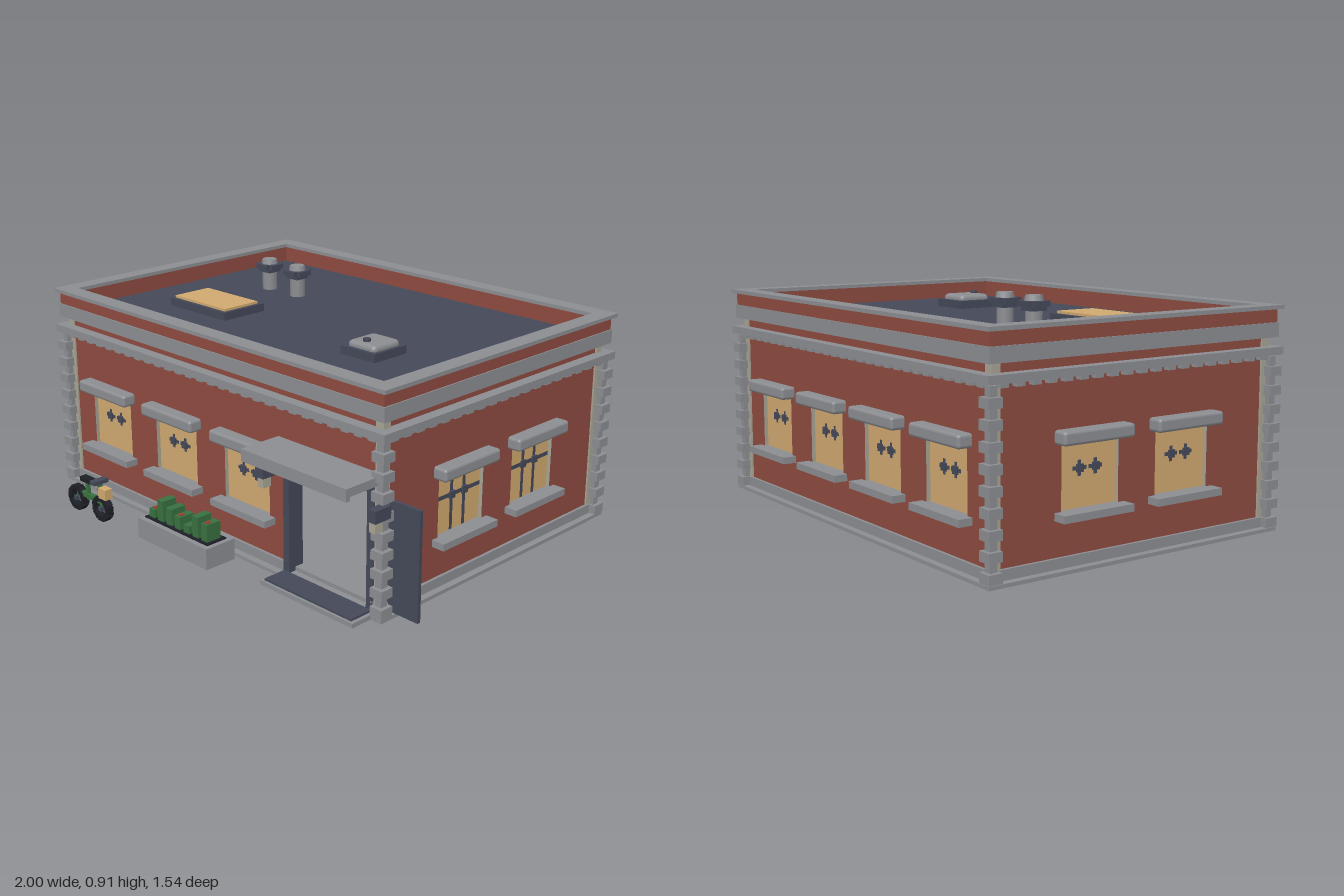
import * as THREE from 'three';
import { RoundedBoxGeometry } from 'three/addons/geometries/RoundedBoxGeometry.js';

const mat = (name, color) => {
  const m = new THREE.MeshStandardMaterial({ color });
  m.name = name;
  return m;
};
const brick = mat('brick', 0x8d4b40), stone = mat('stone grey', 0x8b8d91), slate = mat('slate', 0x444858);
const tan = mat('warm window', 0xcfa86f), beige = mat('beige', 0xa8a494), green = mat('green', 0x38703f);
const black = mat('black', 0x1d1f27), red = mat('red', 0xa03c30);

// Wall faces of the building
const X0 = -0.94, X1 = 0.85, Z0 = -0.712, Z1 = 0.538;
const CX = (X0 + X1) / 2, CZ = (Z0 + Z1) / 2, W = X1 - X0, D = Z1 - Z0;

function add(parent, name, geo, material, x = 0, y = 0, z = 0) {
  const m = new THREE.Mesh(geo, material);
  m.name = name;
  m.position.set(x, y, z);
  parent.add(m);
  return m;
}
// Box given by its limits on each axis
function box(parent, name, material, x0, x1, y0, y1, z0, z1) {
  return add(parent, name, new THREE.BoxGeometry(x1 - x0, y1 - y0, z1 - z0), material,
    (x0 + x1) / 2, (y0 + y1) / 2, (z0 + z1) / 2);
}
function group(parent, name, x = 0, y = 0, z = 0) {
  const g = new THREE.Group();
  g.name = name;
  g.position.set(x, y, z);
  parent.add(g);
  return g;
}
// Rectangular band round the building, from offset "inner" to offset "outer" of the walls
function ring(parent, name, material, y0, y1, inner, outer) {
  const s = new THREE.Shape(), h = new THREE.Path();
  const trace = (p, o) => {
    const a = W / 2 + o, b = D / 2 + o;
    p.moveTo(-a, -b).lineTo(a, -b).lineTo(a, b).lineTo(-a, b).closePath();
  };
  trace(s, outer);
  trace(h, inner);
  s.holes.push(h);
  const geo = new THREE.ExtrudeGeometry(s, { depth: y1 - y0, bevelEnabled: false });
  add(parent, name, geo.rotateX(-Math.PI / 2), material, CX, y0, CZ);
}

// Wall with openings, in its own frame: outward is +z
function wall(root, name, length, x, z, turn, windows, bars, door) {
  const g = group(root, name, x, 0, z);
  g.rotation.y = turn;
  const panel = (label, material, half, depth, back) => {
    const s = new THREE.Shape().moveTo(-half, 0.013);
    if (door) s.lineTo(door[0], 0.013).lineTo(door[0], 0.48).lineTo(door[1], 0.48).lineTo(door[1], 0.013);
    s.lineTo(half, 0.013).lineTo(half, 0.74).lineTo(-half, 0.74).closePath();
    for (const u of windows) {
      s.holes.push(new THREE.Path().moveTo(u - 0.125, 0.2).lineTo(u - 0.125, 0.45)
        .lineTo(u + 0.125, 0.45).lineTo(u + 0.125, 0.2).closePath());
    }
    const geo = new THREE.ExtrudeGeometry(s, { depth, bevelEnabled: false });
    add(g, label, geo, [material, beige], 0, 0, back);
  };
  panel('brickWall', brick, length / 2, 0.03, -0.03);
  panel('wallLining', beige, length / 2 - 0.031, 0.02, -0.05);

  for (const u of windows) {
    const w = group(g, 'window', u);
    box(w, 'pane', tan, -0.125, 0.125, 0.2, 0.45, -0.028, -0.016);
    add(w, 'lintel', new RoundedBoxGeometry(0.31, 0.05, 0.065, 2, 0.012), stone, 0, 0.465, 0.024);
    box(w, 'sill', stone, -0.154, 0.154, 0.18, 0.207, -0.015, 0.055);
    for (const s of [-0.035, 0.035]) {
      box(w, 'barBoss', slate, s - 0.014, s + 0.014, 0.331, 0.359, -0.018, -0.008);
      if (bars === 'full') box(w, 'uprightBar', slate, s - 0.008, s + 0.008, 0.207, 0.44, -0.018, -0.0155);
      else {
        box(w, 'uprightBar', slate, s - 0.007, s + 0.007, 0.317, 0.373, -0.018, -0.0152);
        box(w, 'crossBar', slate, s - 0.03, s + 0.03, 0.338, 0.352, -0.018, -0.0152);
      }
    }
    if (bars === 'full') box(w, 'crossBar', slate, -0.125, 0.125, 0.337, 0.353, -0.018, -0.0152);
  }

  // Plinth and the row of small blocks under the cornice
  const runs = door ? [[-length / 2, door[0]], [door[1], length / 2]] : [[-length / 2, length / 2]];
  for (const [a, b] of runs) box(g, 'plinth', stone, a, b, 0.013, 0.052, -0.01, 0.012);
  const n = Math.round(length / 0.065);
  for (let i = 0; i < n; i++) {
    const u = ((i + 0.5) / n - 0.5) * length;
    box(g, 'dentil', stone, u - 0.017, u + 0.017, 0.653, 0.672, -0.005, 0.025);
  }
}

function quoins(root) {
  for (const sx of [-1, 1]) for (const sz of [-1, 1]) {
    const g = group(root, 'cornerStones', CX + sx * W / 2, 0, CZ + sz * D / 2);
    add(g, 'cornerPost', new THREE.BoxGeometry(0.035, 0.72, 0.035), beige, -sx * 0.011, 0.373, -sz * 0.011);
    for (let i = 0; i < 18; i++) {
      const out = i % 2 ? 0.026 : 0.042, inn = i % 2 ? 0.004 : 0.014, size = out + inn, c = (out - inn) / 2;
      add(g, 'quoin', new THREE.BoxGeometry(size, 0.036, size), stone, sx * c, 0.034 + i * 0.036, sz * c);
    }
  }
}

function roof(root) {
  const g = group(root, 'roof');
  box(g, 'roofDeck', slate, X0 + 0.01, X1 - 0.01, 0.742, 0.772, Z0 + 0.01, Z1 - 0.01);
  ring(g, 'lowerCornice', stone, 0.67, 0.7, -0.01, 0.045);
  ring(g, 'upperCornice', stone, 0.735, 0.79, -0.005, 0.032);
  ring(g, 'parapet', brick, 0.745, 0.842, -0.02, 0.027);
  ring(g, 'parapetCap', stone, 0.84, 0.855, -0.027, 0.045);
  // Skylight and hatch
  box(g, 'skylightBase', slate, -0.67, -0.325, 0.765, 0.805, 0, 0.215);
  box(g, 'skylightGlass', tan, -0.655, -0.34, 0.8, 0.815, 0.022, 0.2);
  box(g, 'hatchBase', slate, 0.318, 0.49, 0.765, 0.805, 0.025, 0.2);
  add(g, 'hatchLid', new RoundedBoxGeometry(0.14, 0.04, 0.145, 2, 0.018), stone, 0.405, 0.808, 0.112);
  add(g, 'hatchHandle', new THREE.CylinderGeometry(0.014, 0.014, 0.016, 8), slate, 0.405, 0.832, 0.15);
  // Chimney vents
  for (const x of [-0.585, -0.41]) {
    const v = group(g, 'vent', x, 0, -0.275);
    add(v, 'ventPipe', new THREE.CylinderGeometry(0.032, 0.032, 0.1, 8), stone, 0, 0.81, 0);
    add(v, 'ventCollar', new THREE.BoxGeometry(0.066, 0.016, 0.066), slate, 0, 0.858, 0);
    for (const t of [0, Math.PI / 2]) {
      add(v, 'ventPlate', new THREE.BoxGeometry(0.1, 0.02, 0.066), slate, 0, 0.876, 0).rotation.y = t;
    }
    add(v, 'ventCap', new THREE.CylinderGeometry(0.032, 0.036, 0.02, 8), stone, 0, 0.896, 0);
  }
}

function entrance(root) {
  const g = group(root, 'entrance');
  for (const [a, b] of [[0.37, 0.4], [0.79, 0.822]]) box(g, 'doorPost', slate, a, b, 0.013, 0.48, 0.48, 0.55);
  box(g, 'doorHead', slate, 0.4, 0.79, 0.46, 0.48, 0.48, 0.55);
  box(g, 'slidingDoor', slate, 0.81, 1, 0.02, 0.44, 0.5, 0.514);
  box(g, 'canopy', stone, 0.335, 0.855, 0.505, 0.537, 0.53, 0.72);
  box(g, 'canopyLip', stone, 0.335, 0.855, 0.49, 0.51, 0.702, 0.72);
  box(g, 'step', stone, 0.37, 0.84, 0, 0.018, 0.56, 0.67);
  box(g, 'stepMat', slate, 0.385, 0.825, 0.018, 0.026, 0.56, 0.66);
  for (const x of [0.32, 0.875]) {
    box(g, 'lampHead', slate, x - 0.018, x + 0.018, 0.39, 0.437, 0.54, 0.618);
    box(g, 'lampGlass', beige, x - 0.014, x + 0.014, 0.352, 0.39, 0.575, 0.614);
  }
}

function interior(root) {
  const g = group(root, 'interior');
  // Long desks
  for (const [x, z] of [[-0.18, -0.335], [-0.63, -0.31], [-0.675, 0.157]]) {
    box(g, 'deskBase', slate, x - 0.2, x + 0.2, 0.002, 0.17, z - 0.025, z + 0.025);
    box(g, 'deskTop', tan, x - 0.2, x + 0.2, 0.17, 0.185, z - 0.06, z + 0.06);
  }
  // Counter with a screen
  box(g, 'counter', slate, 0.665, 0.785, 0.025, 0.17, -0.14, 0.17);
  box(g, 'counterFoot', slate, 0.755, 0.785, 0.002, 0.025, -0.14, 0.17);
  box(g, 'counterTop', tan, 0.655, 0.79, 0.17, 0.185, -0.15, 0.18);
  box(g, 'screen', black, 0.695, 0.785, 0.19, 0.37, -0.02, 0.01);
  box(g, 'screenLight', red, 0.735, 0.755, 0.255, 0.285, 0.01, 0.014);
  box(g, 'lampPost', slate, 0.665, 0.688, 0.185, 0.385, -0.06, -0.04);
  // Back bench, cabinet, seat and plant
  box(g, 'rug', black, 0.34, 0.8, 0.006, 0.034, -0.64, -0.4);
  box(g, 'benchTop', tan, 0.5, 0.68, 0.18, 0.195, -0.6, -0.42);
  box(g, 'cabinet', beige, 0.5, 0.66, 0.03, 0.18, -0.58, -0.44);
  for (const y of [0.05, 0.085, 0.12]) box(g, 'drawer', slate, 0.525, 0.58, y, y + 0.022, -0.44, -0.432);
  box(g, 'seat', slate, 0.405, 0.49, 0.085, 0.18, -0.2, -0.1);
  box(g, 'seatBack', stone, 0.415, 0.49, 0.18, 0.24, -0.2, -0.19);
  box(g, 'seatLeg', stone, 0.435, 0.455, 0.03, 0.085, -0.16, -0.14);
  box(g, 'plant', green, 0.41, 0.475, 0.18, 0.225, -0.185, -0.12);
}

function planter(root) {
  const g = group(root, 'planter');
  box(g, 'trough', stone, -0.27, 0.145, 0, 0.085, 0.595, 0.735);
  box(g, 'soil', black, -0.252, 0.125, 0.08, 0.09, 0.617, 0.713);
  [0.125, 0.175, 0.158, 0.143, 0.122, 0.175, 0.16].forEach((h, i) => {
    const x = -0.222 + i * 0.0525;
    box(g, 'shrub', green, x - 0.017, x + 0.017, 0.085, h, 0.633, 0.7);
    if (i % 3 === 0) box(g, 'flower', red, x - 0.008, x + 0.008, h, h + 0.004, 0.67, 0.69);
  });
}

function bicycle(root) {
  const g = group(root, 'bicycle', 0, 0, 0.737);
  const rod = (name, x0, y0, x1, y1, r) => {
    const m = add(g, name, new THREE.BoxGeometry(2 * r, Math.hypot(x1 - x0, y1 - y0), 2 * r), green,
      (x0 + x1) / 2, (y0 + y1) / 2);
    m.rotation.z = Math.atan2(y1 - y0, x1 - x0) - Math.PI / 2;
  };
  // Each wheel is eight chunky blocks
  for (const x of [-0.667, -0.5]) {
    const w = group(g, 'wheel', x, 0.054);
    for (let i = 0; i < 8; i++) {
      const a = i * Math.PI / 4;
      add(w, 'tyreBlock', new THREE.BoxGeometry(0.02, 0.036, 0.03), black,
        0.042 * Math.cos(a), 0.042 * Math.sin(a)).rotation.z = a;
    }
    add(w, 'hub', new THREE.BoxGeometry(0.018, 0.018, 0.034), slate);
  }
  rod('rearStay', -0.667, 0.054, -0.61, 0.085, 0.007);
  rod('seatTube', -0.592, 0.065, -0.597, 0.145, 0.007);
  rod('topTube', -0.665, 0.082, -0.51, 0.082, 0.01);
  rod('fork', -0.5, 0.054, -0.515, 0.165, 0.008);
  box(g, 'saddle', black, -0.628, -0.565, 0.142, 0.16, -0.016, 0.016);
  box(g, 'handlebar', slate, -0.532, -0.5, 0.158, 0.174, -0.035, 0.035);
  box(g, 'basket', tan, -0.502, -0.455, 0.103, 0.147, -0.018, 0.018);
}

export function createModel() {
  const root = new THREE.Group();
  root.name = 'brickBuilding';
  ring(root, 'foundation', stone, 0, 0.014, -0.05, 0.04);
  box(root, 'floorSlab', stone, X0 + 0.02, X1 - 0.02, 0.012, 0.03, Z0 + 0.02, Z1 - 0.02);
  const u = [-0.63, -0.212, 0.205, 0.625];
  wall(root, 'frontWall', W, CX, Z1, 0, u.slice(0, 3), 'short', [0.415, 0.855]);
  wall(root, 'backWall', W, CX, Z0, Math.PI, u.map((v) => -v), 'short');
  wall(root, 'rightWall', D, X1, CZ, Math.PI / 2, [-0.205, 0.215], 'full');
  wall(root, 'leftWall', D, X0, CZ, -Math.PI / 2, [0.205, -0.215], 'short');
  quoins(root);
  roof(root);
  entrance(root);
  interior(root);
  planter(root);
  bicycle(root);
  return root;
}
